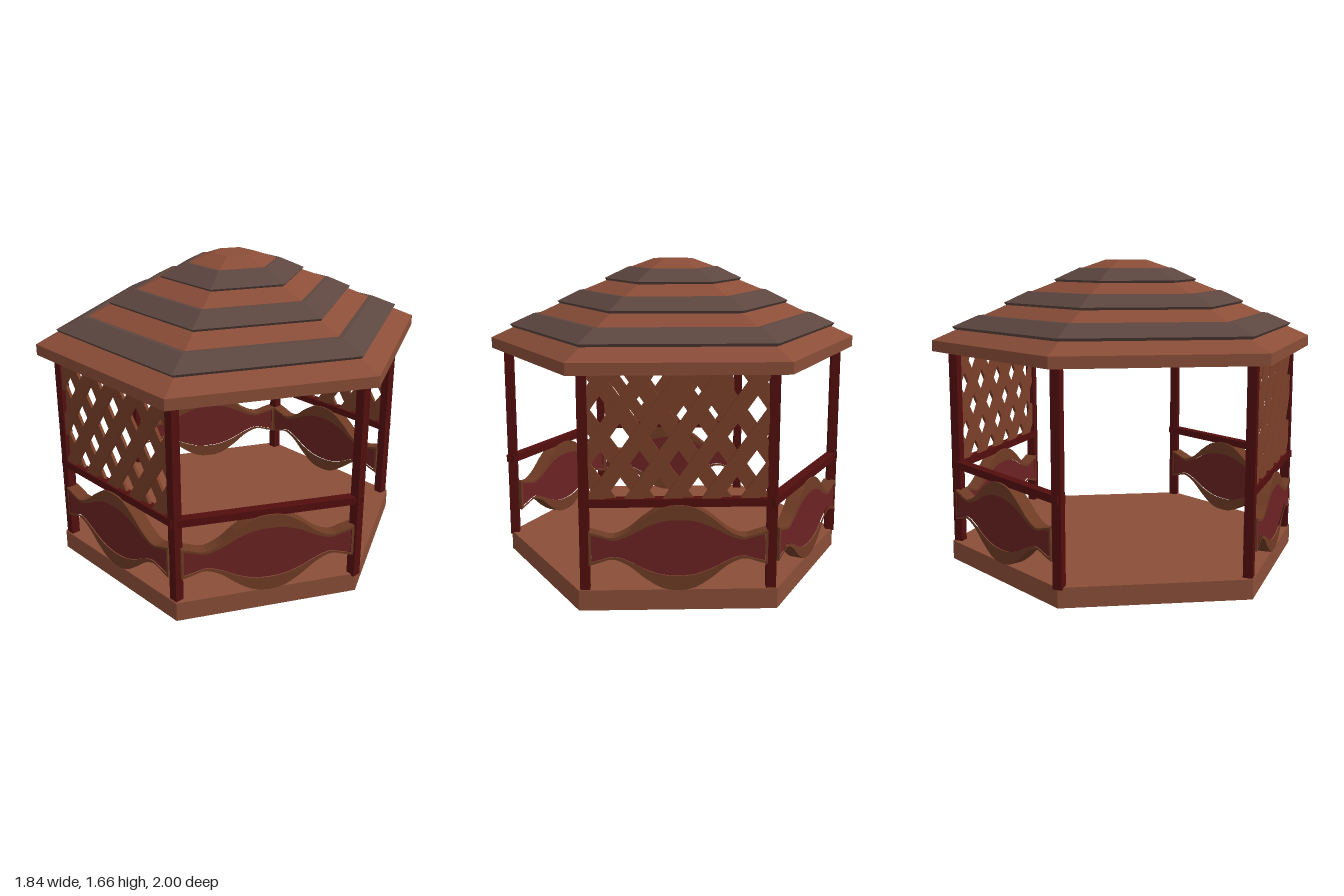
import * as THREE from 'three';

const mat = (color) => new THREE.MeshStandardMaterial({ color, flatShading: true });
const brown = mat(0x8a4d38), dark = mat(0x5d4640), post = mat(0x520e0e);
const red = mat(0x6b2222), trim = mat(0x6e3b24), slatWood = mat(0x7a3f28);

function add(parent, name, geometry, material, x = 0, y = 0, z = 0) {
  const m = new THREE.Mesh(geometry, material);
  m.name = name;
  m.position.set(x, y, z);
  parent.add(m);
  return m;
}

// Six-sided solid from a [radius, height] profile, slightly widened in x
function hexSolid(profile) {
  const g = new THREE.LatheGeometry(profile.map(([r, y]) => new THREE.Vector2(r, y)), 6);
  const p = g.attributes.position;
  for (let i = 0; i < p.count; i++) {
    const x = p.getX(i), z = p.getZ(i);
    p.setX(i, x * 1.062);
    if (Math.abs(x) > 1e-4) p.setZ(i, z * 1.04);
  }
  g.computeVertexNormals();
  return g;
}

function extrude(shape, depth) {
  return new THREE.ExtrudeGeometry(shape, { depth, bevelEnabled: false }).translate(0, 0, -depth / 2);
}

// Wavy symmetric outline from [position, half height] pairs, centre outwards
function wavyPoints(halfWidth, half) {
  const right = half.map(([u, h]) => new THREE.Vector2(u * halfWidth, h));
  const left = right.slice().reverse().map((v) => new THREE.Vector2(-v.x, v.y));
  const top = new THREE.SplineCurve([...left, ...right]).getPoints(32);
  const bottom = top.slice().reverse().map((v) => new THREE.Vector2(v.x, -v.y));
  return [...top, ...bottom];
}

// Keep the part of a polygon where n·p <= d
function clip(poly, nx, ny, d) {
  const out = [];
  poly.forEach((a, i) => {
    const b = poly[(i + 1) % poly.length];
    const da = nx * a.x + ny * a.y - d, db = nx * b.x + ny * b.y - d;
    if (da <= 0) out.push(a);
    if (da * db < 0) out.push(a.clone().lerp(b, da / (da - db)));
  });
  return out;
}

// Two crossed layers of slats trimmed to a rectangle
function lattice(halfWidth, y0, y1) {
  const group = new THREE.Group();
  group.name = 'lattice';
  const angle = Math.atan2(0.131, 0.0925), pitch = 0.185 * Math.sin(angle), width = 0.075;
  for (const side of [-1, 1]) {
    const dir = new THREE.Vector2(side * Math.cos(angle), Math.sin(angle));
    const nrm = new THREE.Vector2(-dir.y, dir.x);
    for (let k = -6; k < 6; k++) {
      const c = new THREE.Vector2(0, 0.86 + 0.131).addScaledVector(nrm, (k + 0.5) * pitch);
      const corner = (a, b) => c.clone().addScaledVector(dir, a * 2).addScaledVector(nrm, b * width / 2);
      let poly = [corner(-1, -1), corner(1, -1), corner(1, 1), corner(-1, 1)];
      poly = clip(poly, 1, 0, halfWidth);
      poly = clip(poly, -1, 0, halfWidth);
      poly = clip(poly, 0, 1, y1);
      poly = clip(poly, 0, -1, -y0);
      if (poly.length > 2) {
        add(group, 'latticeSlat', extrude(new THREE.Shape(poly), 0.016), slatWood, 0, 0, side * 0.008);
      }
    }
  }
  return group;
}

// Wavy lower panel: raised frame around a red infill
function lowerPanel(halfWidth) {
  const group = new THREE.Group();
  group.name = 'lowerPanel';
  group.position.y = 0.317;
  const outer = wavyPoints(halfWidth, [[0.14, 0.208], [0.36, 0.155], [0.55, 0.088], [0.73, 0.054], [0.88, 0.07], [1, 0.085]]);
  const inner = wavyPoints(halfWidth * 0.97, [[0.14, 0.138], [0.36, 0.11], [0.55, 0.068], [0.73, 0.041], [0.88, 0.055], [1, 0.068]]);
  const frame = new THREE.Shape(outer);
  frame.holes.push(new THREE.Path(inner));
  add(group, 'panelFrame', extrude(frame, 0.07), trim);
  add(group, 'panelInfill', extrude(new THREE.Shape(inner), 0.06), red);
  return group;
}

export function createModel() {
  const model = new THREE.Group();
  model.name = 'gazebo';

  add(model, 'floor', hexSolid([[0, 0], [0.928, 0], [0.928, 0.104], [0, 0.104]]), brown);

  // Roof: eaves, then alternating dark and brown tiers
  const roof = new THREE.Group();
  roof.name = 'roof';
  model.add(roof);
  add(roof, 'eaves', hexSolid([[0, 1.17], [1, 1.17], [1, 1.228], [0.87, 1.288], [0, 1.288]]), brown);
  const darkTiers = [[0.897, 0.765, 1.285, 1.36], [0.632, 0.51, 1.412, 1.487], [0.373, 0.244, 1.535, 1.612]];
  const brownTiers = [[0.738, 0.62, 1.36, 1.415], [0.49, 0.36, 1.487, 1.54], [0.228, 0.107, 1.612, 1.656]];
  darkTiers.forEach(([r0, r1, y0, y1]) =>
    add(roof, 'darkTier', hexSolid([[0, y0], [r0 - 0.012, y0], [r0, y0 + 0.015], [r1, y1], [0, y1]]), dark));
  brownTiers.forEach(([r0, r1, y0, y1]) =>
    add(roof, 'brownTier', hexSolid([[0, y0], [r0, y0], [r1, y1], [0, y1]]), brown));

  // Corner posts
  const corners = [[0, 0.908], [0.823, 0.452], [0.823, -0.452], [0, -0.908], [-0.823, -0.452], [-0.823, 0.452]];
  corners.forEach(([x, z]) =>
    add(model, 'post', new THREE.BoxGeometry(0.048, 1.08, 0.048), post, x, 0.635, z));

  // Sides: opposite pairs are open, latticed, or railed only
  const kinds = ['open', 'lattice', 'rail'];
  corners.forEach(([x0, z0], i) => {
    const kind = kinds[i % 3];
    if (kind === 'open') return;
    const [x1, z1] = corners[(i + 1) % 6];
    const length = Math.hypot(x1 - x0, z1 - z0);
    const side = new THREE.Group();
    side.name = kind + 'Side';
    side.position.set((x0 + x1) / 2, 0, (z0 + z1) / 2);
    side.rotation.y = Math.atan2(z0 - z1, x1 - x0);
    add(side, 'rail', new THREE.BoxGeometry(length + 0.05, 0.04, 0.05), post, 0, 0.54, 0);
    side.add(lowerPanel(length / 2 - 0.02));
    if (kind === 'lattice') side.add(lattice(length / 2 - 0.02, 0.555, 1.172));
    model.add(side);
  });
  return model;
}
